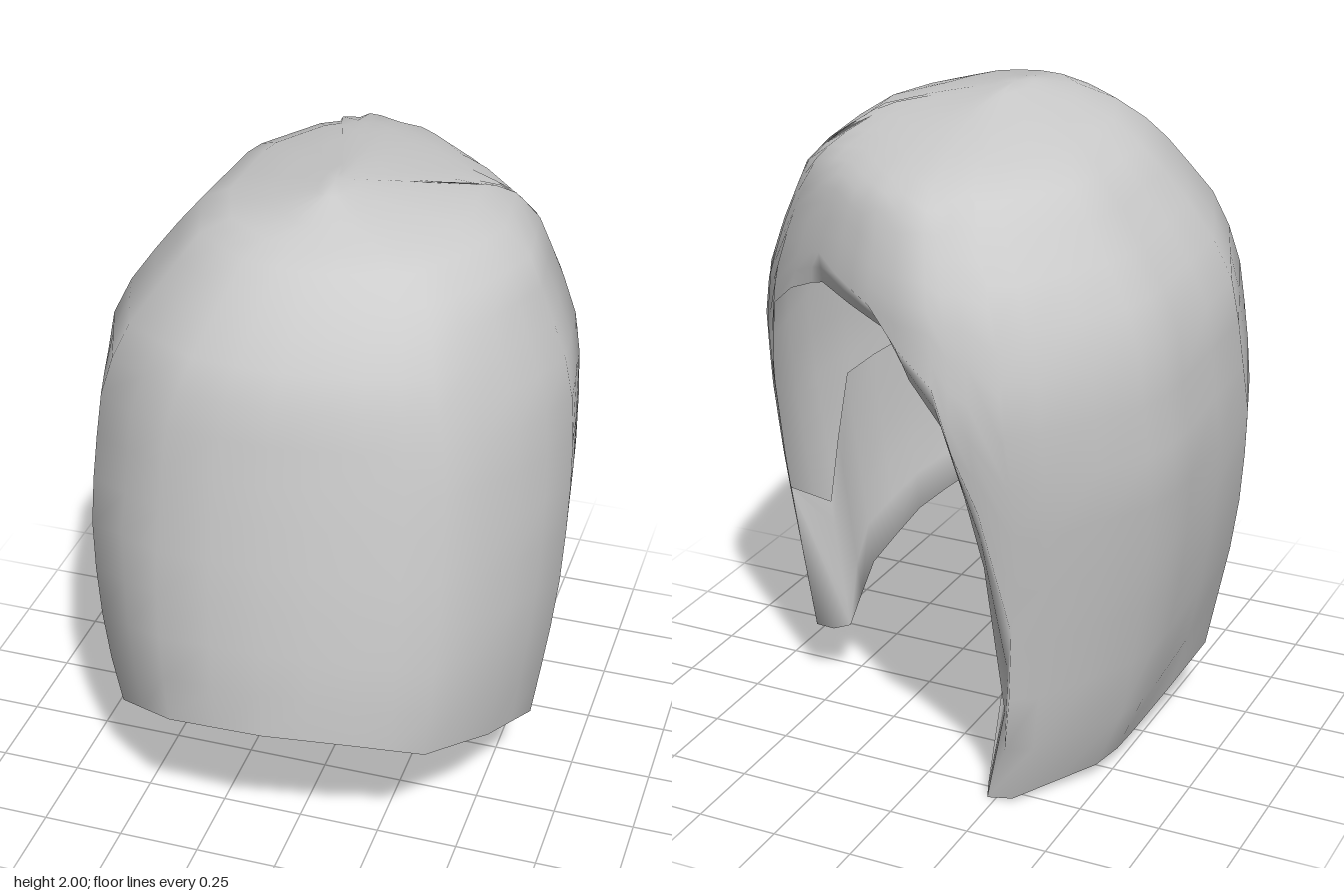
import * as THREE from 'three';

// Widest outline seen from above, [x, z], anticlockwise from the front
const OUTLINE = [
  [0, 0.84], [0.27, 0.78], [0.48, 0.68], [0.63, 0.42], [0.72, 0.11], [0.66, -0.25],
  [0.4, -0.5], [0.23, -0.64], [-0.01, -0.79], [-0.25, -0.84], [-0.46, -0.72],
  [-0.66, -0.43], [-0.69, -0.34], [-0.73, 0.2], [-0.61, 0.57], [-0.33, 0.8],
];
// Extent of the shell at each height: y, xMin, xMax, zMin, zMax
const EXTENTS = [
  [0, -0.5, 0.58, -0.67, 0.8], [0.2, -0.6, 0.63, -0.68, 0.82], [0.6, -0.68, 0.69, -0.73, 0.85],
  [0.8, -0.71, 0.71, -0.76, 0.84], [1.05, -0.73, 0.72, -0.8, 0.81], [1.3, -0.71, 0.71, -0.84, 0.77],
  [1.46, -0.69, 0.69, -0.82, 0.74], [1.62, -0.61, 0.63, -0.79, 0.71], [1.8, -0.47, 0.55, -0.68, 0.59],
  [1.88, -0.4, 0.46, -0.61, 0.5], [1.95, -0.26, 0.35, -0.32, 0.42], [1.985, -0.07, 0.12, -0.08, 0.34],
  [2, 0, 0, 0.12, 0.12],
];
// Rim by azimuth in degrees (0 = front, 90 = +x): height, and how far it is tucked inwards.
// The arch runs from 110 to 206.
const RIM = [
  [-153.5, 0, 0.93], [-147, 0.01, 0.98], [-123, 0.04, 1], [-107, 0.07, 1], [-75, 0.22, 1],
  [-47, 0.39, 1], [-22, 0.54, 1], [0, 0.58, 1], [19, 0.56, 1], [35, 0.5, 1], [56, 0.42, 1],
  [81, 0.31, 1], [110.5, 0.21, 1], [111, 0.7, 1], [112, 1.1, 1], [116, 1.36, 1], [130, 1.46, 1],
  [141, 1.51, 0.97], [146, 1.525, 0.95], [160, 1.5, 0.9], [176, 1.46, 0.84], [193, 1.25, 0.88],
  [196.6, 1.03, 0.87], [200, 0.8, 0.87], [206, 0.3, 0.89], [206.5, 0, 0.93],
];
// Upper edge of the inner lining by azimuth
const LINING = [
  [-153.5, 1.2], [-125, 1.13], [-100, 1.02], [-45, 1.02], [20, 1.1], [80, 1], [110.5, 0.65],
  [113, 0.65], [185, 1.2], [206.5, 1.2],
];

// Linear lookup in rows sorted by their first value
function lookup(rows, key) {
  let i = 0;
  while (i < rows.length - 2 && rows[i + 1][0] < key) i++;
  const [a, b] = [rows[i], rows[i + 1]];
  const f = THREE.MathUtils.clamp((key - a[0]) / (b[0] - a[0]), 0, 1);
  return a.map((v, k) => v + (b[k] - v) * f);
}

// Where the ray at this azimuth crosses the outline
function outlinePoint(azimuth) {
  const a = THREE.MathUtils.degToRad(azimuth);
  const dx = Math.sin(a), dz = Math.cos(a);
  for (let i = 0; i < OUTLINE.length; i++) {
    const [px, pz] = OUTLINE[i], [qx, qz] = OUTLINE[(i + 1) % OUTLINE.length];
    const sp = px * dz - pz * dx, sq = qx * dz - qz * dx;
    if (sp <= 1e-9 && sq > 1e-9) {
      const f = sp / (sp - sq);
      return [px + (qx - px) * f, pz + (qz - pz) * f];
    }
  }
}

// Point on the shell; shrink below 1 lies inside it
function shellPoint(azimuth, y, shrink) {
  const [ox, oz] = outlinePoint(azimuth);
  const [, x0, x1, z0, z1] = lookup(EXTENTS, y);
  return [
    (x0 + x1) / 2 + (ox / 0.725) * ((x1 - x0) / 2) * shrink,
    y,
    (z0 + z1) / 2 + (oz / 0.84) * ((z1 - z0) / 2) * shrink,
  ];
}

// Smooth outward direction of the shell, taken over a wide step
function shellNormal(azimuth, y) {
  const at = (a, h) => new THREE.Vector3(...shellPoint(a, Math.min(h, 2), 1));
  const across = at(azimuth + 12, y).sub(at(azimuth - 12, y));
  const up = at(azimuth, y + 0.08).sub(at(azimuth, y - 0.08));
  return across.cross(up).normalize();
}

// Surface through columns of points that run round in a closed loop
function loopSurface(columns) {
  const rows = columns[0].length, index = [];
  columns.forEach((_, i) => {
    const p = i * rows, q = ((i + 1) % columns.length) * rows;
    for (let j = 0; j < rows - 1; j++) {
      index.push(p + j, q + j, q + j + 1, p + j, q + j + 1, p + j + 1);
    }
  });
  const g = new THREE.BufferGeometry();
  g.setAttribute('position', new THREE.Float32BufferAttribute(columns.flat(2), 3));
  g.setIndex(index);
  g.computeVertexNormals();
  return g;
}

export function createModel() {
  const group = new THREE.Group();
  group.name = 'hood';
  const material = new THREE.MeshStandardMaterial({ color: 0xcccccc, side: THREE.DoubleSide });
  const add = (name, geometry) => {
    const mesh = new THREE.Mesh(geometry, material);
    mesh.name = name;
    group.add(mesh);
  };

  // Azimuths: every rim knot, with a midpoint where knots lie far apart
  const azimuths = RIM.slice(0, -1).flatMap(([a], i) => {
    const b = RIM[i + 1][0];
    return b - a > 14 ? [a, (a + b) / 2] : [a];
  });

  // Outer shell from the tucked rim up to the crown
  const LEVELS = 16;
  const shell = loopSurface(azimuths.map((az) => {
    const [, rim, tuck] = lookup(RIM, az);
    return Array.from({ length: LEVELS + 1 }, (_, k) =>
      shellPoint(az, rim + (2 - rim) * Math.sin((k / LEVELS) * Math.PI / 2),
        1 - (1 - tuck) * Math.max(0, 1 - k / 2)));
  }));
  // Even shading above the rim, and one shared normal at the crown
  const { position, normal } = shell.attributes;
  azimuths.forEach((az, i) => {
    for (let k = 2; k < LEVELS; k++) {
      const v = i * (LEVELS + 1) + k;
      normal.setXYZ(v, ...shellNormal(az, position.getY(v)).toArray());
    }
    normal.setXYZ(i * (LEVELS + 1) + LEVELS, 0, 1, 0);
  });
  add('outerShell', shell);

  // Lining from its upper edge down to the rim, rolled over to meet the shell;
  // it narrows to nothing along the top of the arch
  const STEPS = 5;
  add('innerLining', loopSurface(azimuths.map((az) => {
    const [, rim, tuck] = lookup(RIM, az);
    const height = Math.max(0, lookup(LINING, az)[1] - rim);
    const inner = Math.min(tuck, 1 - 0.18 * Math.min(1, height / 0.15));
    const column = [];
    for (let k = STEPS; k >= 0; k--) {
      column.push(shellPoint(az, rim + height * (k / STEPS), inner));
    }
    const [x, y, z] = shellPoint(az, rim, (inner + tuck) / 2);
    column.push([x, Math.max(0, y - (tuck - inner) * 0.08), z], shellPoint(az, rim, tuck));
    return column;
  })));
  return group;
}
